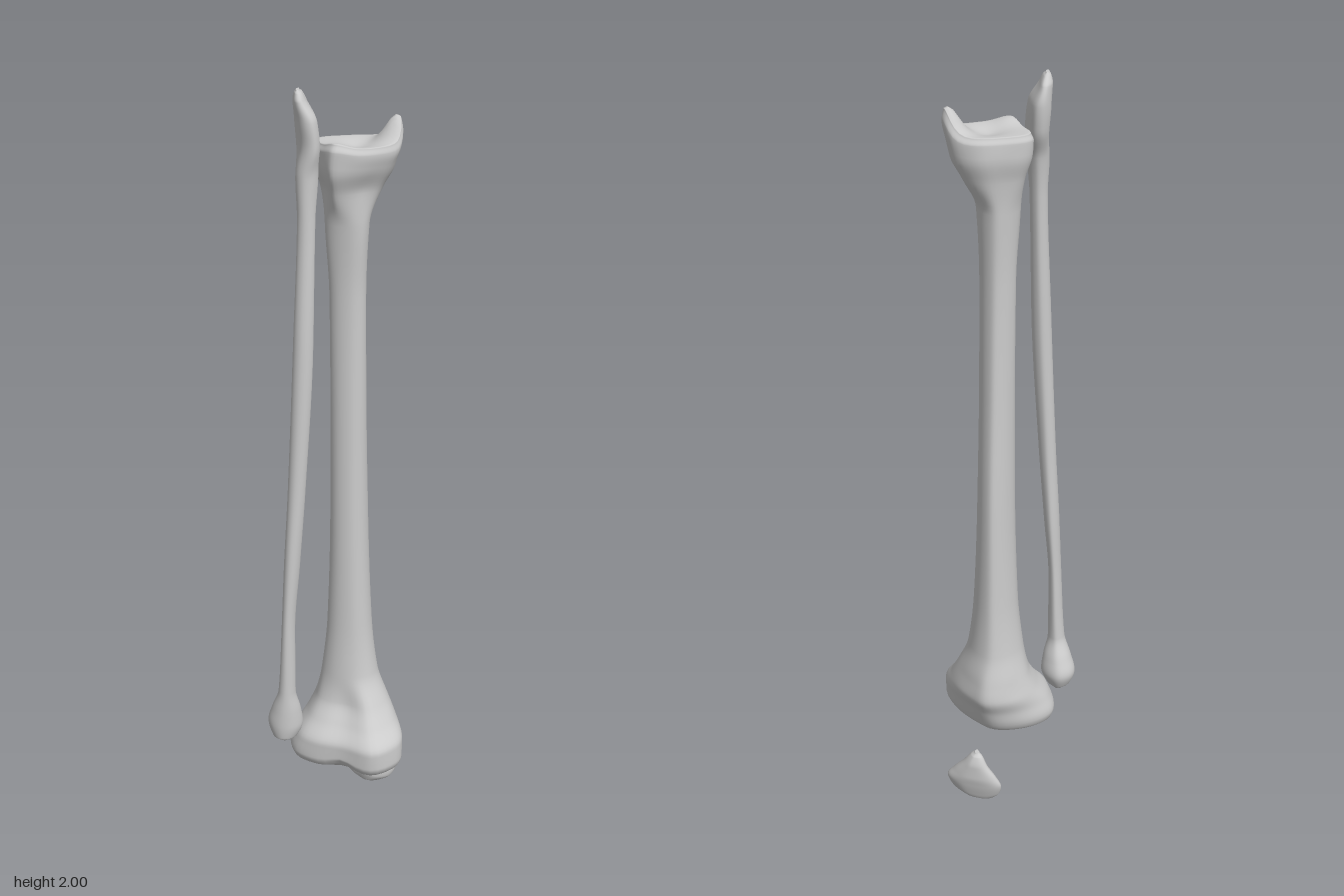
import * as THREE from 'three';

const AROUND = 48, STEPS = 7;
const material = new THREE.MeshStandardMaterial({ color: 0xcccccc });

// Outlines in a -1..1 box: twelve points from +x through +z, -x and -z.
const outlines = {
  plateau: [[.98, .05], [.97, .52], [.63, 1], [.06, .9], [-.45, .88], [-.82, .66],
    [-1, .08], [-.88, -.38], [-.56, -.78], [-.13, -1], [.25, -.82], [.7, -.42]],
  shaft: [[.97, .1], [.87, .6], [.5, .92], [0, 1], [-.5, .9], [-.88, .6],
    [-1, .1], [-.85, -.4], [-.55, -.78], [-.15, -1], [.35, -.8], [.75, -.4]],
  ankle: [[.98, -.05], [.66, .38], [.26, .75], [-.2, 1], [-.44, .85], [-.69, .5],
    [-.98, .05], [-.9, -.32], [-.53, -.65], [.03, -.97], [.6, -.93], [.94, -.6]],
  slender: [[1, 0], [.85, .5], [.5, .86], [0, 1], [-.5, .86], [-.87, .5],
    [-1, 0], [-.87, -.5], [-.5, -.9], [-.1, -1], [.4, -.8], [.8, -.45]],
  tip: [[.8, .1], [1, .5], [.85, .9], [.4, 1], [-.1, .85], [-.5, .5],
    [-.85, .05], [-1, -.45], [-.75, -.9], [-.3, -1], [.1, -.8], [.5, -.35]],
  kneecap: [[1, .05], [.85, .6], [.4, .97], [0, .75], [-.45, .35], [-.8, .05],
    [-1, -.4], [-.85, -.75], [-.5, -.95], [0, -1], [.45, -.9], [.87, -.45]],
};

// A section is [y, xMin, xMax, zMin, zMax, outline]; returns its ring of points.
function ringOf([y, x0, x1, z0, z1, name]) {
  const points = outlines[name].map(([u, v]) => new THREE.Vector3(
    (x0 + x1) / 2 + u * (x1 - x0) / 2, y, (z0 + z1) / 2 + v * (z1 - z0) / 2));
  const curve = new THREE.CatmullRomCurve3(points, true, 'catmullrom', 0.5);
  return Array.from({ length: AROUND }, (_, i) => curve.getPoint(i / AROUND));
}

// Slope at ring k that never overshoots its neighbours.
function slope(rings, k, i, axis) {
  if (k === 0 || k === rings.length - 1) return 0;
  const [a, b, c] = [rings[k - 1][i], rings[k][i], rings[k + 1][i]];
  const d0 = (b[axis] - a[axis]) / (b.y - a.y), d1 = (c[axis] - b[axis]) / (c.y - b.y);
  return d0 * d1 <= 0 ? 0 : 2 * d0 * d1 / (d0 + d1);
}

// Smooth closed loft through the sections, from bottom to top, with an optional warp in y.
function bone(name, sections, warp = () => 0) {
  const keys = sections.map(ringOf), rings = [];
  for (let k = 0; k < keys.length - 1; k++) {
    for (let s = 0; s < STEPS; s++) {
      const t = s / STEPS, t2 = t * t, t3 = t2 * t;
      rings.push(keys[k].map((p, i) => {
        const q = keys[k + 1][i], h = q.y - p.y, out = new THREE.Vector3(0, p.y + t * h, 0);
        for (const axis of ['x', 'z']) {
          out[axis] = (2 * t3 - 3 * t2 + 1) * p[axis] + (3 * t2 - 2 * t3) * q[axis]
            + h * ((t3 - 2 * t2 + t) * slope(keys, k, i, axis) + (t3 - t2) * slope(keys, k + 1, i, axis));
        }
        return out;
      }));
    }
  }
  rings.push(keys.at(-1));

  // End caps: rings shrinking to the middle
  const shrink = (ring, f) => {
    const mid = ring.reduce((m, p) => m.add(p), new THREE.Vector3()).divideScalar(AROUND);
    return ring.map((p) => mid.clone().lerp(p, f));
  };
  const first = rings[0], last = rings.at(-1);
  for (const f of [.92, .8, .68, .56, .44, .32, .2, .1, 0.001]) {
    rings.unshift(shrink(first, f));
    rings.push(shrink(last, f));
  }

  const positions = [], index = [];
  rings.forEach((ring, r) => ring.forEach((p, i) => {
    positions.push(p.x, p.y + warp(p.x, p.y, p.z), p.z);
    if (r === rings.length - 1) return;
    const a = r * AROUND + i, b = r * AROUND + (i + 1) % AROUND;
    index.push(a, a + AROUND, b, b, a + AROUND, b + AROUND);
  }));
  const geometry = new THREE.BufferGeometry();
  geometry.setAttribute('position', new THREE.Float32BufferAttribute(positions, 3));
  geometry.setIndex(index);
  geometry.computeVertexNormals();
  const mesh = new THREE.Mesh(geometry, material);
  mesh.name = name;
  return mesh;
}

const bump = (x, z, cx, cz, r) => Math.exp(-((x - cx) ** 2 + (z - cz) ** 2) / (r * r));

// Spines and shallow cups on the knee end, ankle knob and hollow on the other end
function shinWarp(x, y, z) {
  const knee = THREE.MathUtils.smoothstep(-y, -.26, -.195);
  const ankle = THREE.MathUtils.smoothstep(y, 1.8, 1.865);
  return knee * (.012 * bump(x, z, -.06, .05, .045) + .012 * bump(x, z, .11, .06, .045)
      - .025 * bump(x, z, .035, .035, .025) + .02 * bump(x, z, .03, .15, .035))
    + ankle * (.06 * bump(x, z, .112, -.045, .034) - .012 * bump(x, z, .03, 0, .04)
      + .012 * bump(x, z, 0, .08, .035));
}

export function createModel() {
  const group = new THREE.Group();
  group.name = 'lowerLegBones';

  group.add(bone('shinBone', [
    [.19, -.118, .15, -.04, .125, 'plateau'],
    [.2, -.132, .168, -.06, .143, 'plateau'],
    [.225, -.14, .176, -.075, .154, 'plateau'],
    [.27, -.125, .175, -.09, .155, 'plateau'],
    [.32, -.098, .148, -.11, .12, 'plateau'],
    [.37, -.078, .122, -.102, .088, 'plateau'],
    [.45, -.06, .093, -.083, .07, 'shaft'],
    [.6, -.045, .075, -.072, .06, 'shaft'],
    [.9, -.036, .063, -.065, .055, 'shaft'],
    [1.2, -.034, .058, -.05, .05, 'shaft'],
    [1.5, -.036, .056, -.041, .045, 'shaft'],
    [1.68, -.046, .064, -.047, .053, 'shaft'],
    [1.76, -.06, .085, -.067, .074, 'ankle'],
    [1.82, -.078, .118, -.084, .094, 'ankle'],
    [1.855, -.08, .132, -.085, .095, 'ankle'],
    [1.872, -.073, .128, -.077, .085, 'ankle'],
  ], shinWarp));

  group.add(bone('calfBone', [
    [.26, -.15, -.118, .095, .135, 'slender'],
    [.275, -.168, -.1, .08, .153, 'slender'],
    [.315, -.181, -.086, .066, .157, 'slender'],
    [.36, -.168, -.09, .078, .156, 'slender'],
    [.42, -.146, -.1, .1, .153, 'slender'],
    [.6, -.135, -.1, .1, .15, 'slender'],
    [.8, -.127, -.086, .09, .145, 'slender'],
    [1, -.117, -.072, .085, .135, 'slender'],
    [1.4, -.102, -.052, .07, .12, 'slender'],
    [1.7, -.094, -.05, .055, .1, 'slender'],
    [1.8, -.099, -.045, .04, .099, 'slender'],
    [1.87, -.106, -.038, .012, .099, 'tip'],
    [1.93, -.111, -.044, .005, .103, 'tip'],
    [1.975, -.111, -.07, .018, .1, 'tip'],
    [1.993, -.104, -.08, .04, .09, 'tip'],
    [2, -.098, -.088, .055, .08, 'tip'],
  ]));

  group.add(bone('kneecap', [
    [.004, .005, .045, -.122, -.095, 'kneecap'],
    [.012, -.012, .075, -.133, -.085, 'kneecap'],
    [.035, -.034, .108, -.142, -.077, 'kneecap'],
    [.065, -.041, .118, -.15, -.08, 'kneecap'],
    [.095, -.028, .098, -.155, -.086, 'kneecap'],
    [.13, -.005, .068, -.155, -.1, 'kneecap'],
    [.16, .01, .045, -.147, -.112, 'kneecap'],
    [.17, .02, .034, -.138, -.12, 'kneecap'],
  ]));
  return group;
}
